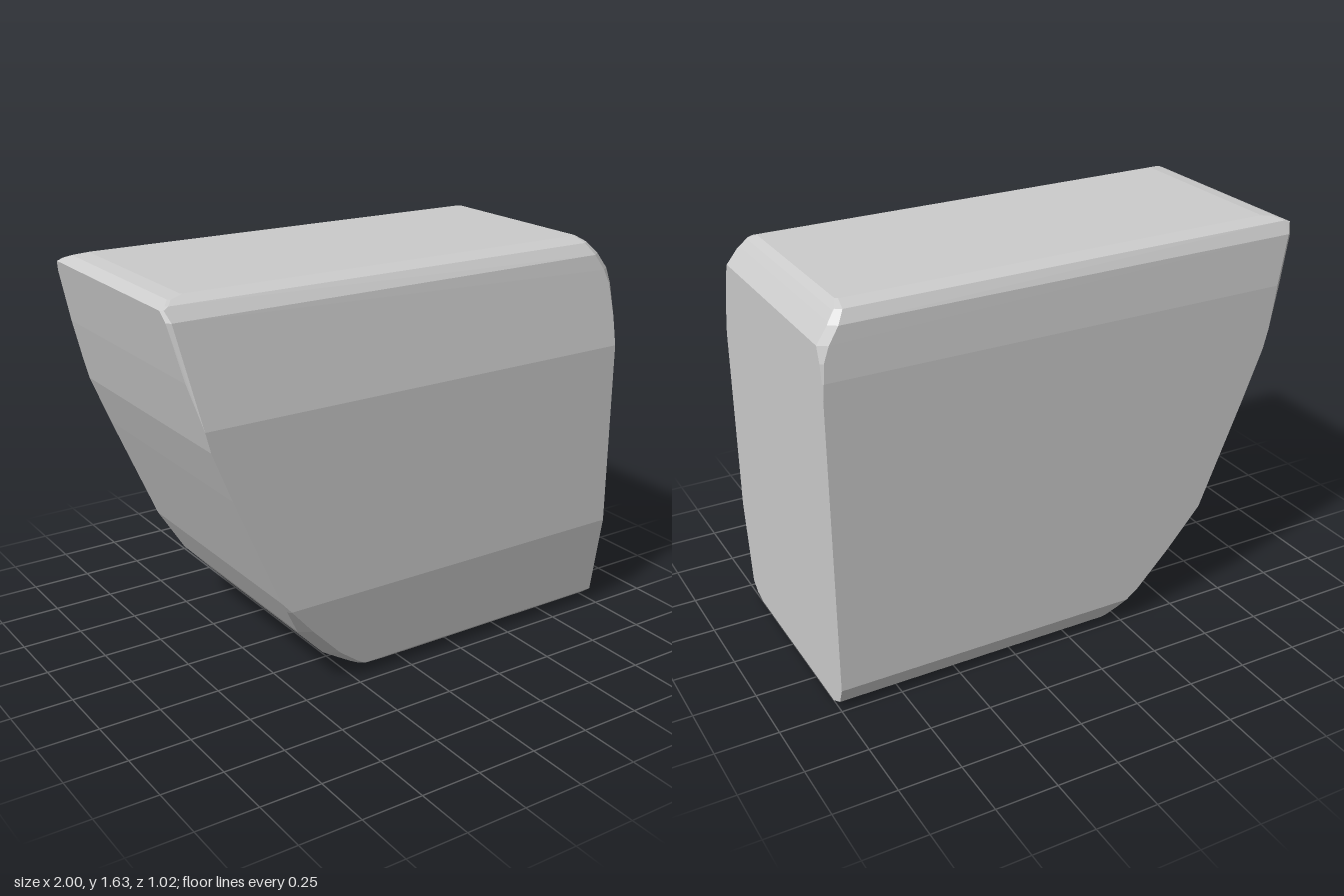
import * as THREE from 'three';
import { ConvexGeometry } from 'three/addons/geometries/ConvexGeometry.js';

// Outlines as [height, value] pairs, bottom to top
const frontZ = [[0, 0.35], [0.015, 0.41], [0.05, 0.455], [0.4, 0.51], [1.18, 0.51], [1.56, 0.44], [1.61, 0.405], [1.63, 0.345]];
const backZ = [[0, -0.42], [0.035, -0.485], [0.1, -0.51], [1.36, -0.51], [1.56, -0.495], [1.61, -0.47], [1.63, -0.42]];
const curvedX = [[0, 0.05], [0.01, -0.05], [0.04, -0.2], [0.07, -0.26], [0.14, -0.38], [0.28, -0.51], [0.45, -0.61],
  [0.9, -0.8], [1.1, -0.88], [1.35, -0.945], [1.6, -1], [1.622, -0.95], [1.63, -0.89]];
const straightX = [[0, 1], [1.49, 1], [1.57, 0.95], [1.605, 0.925], [1.63, 0.9]];
// How far the upright corners are cut back at each height
const curvedCut = [[0, 0], [0.05, 0.02], [0.15, 0.06], [0.28, 0.05], [0.45, 0], [1.18, 0], [1.45, 0.03], [1.6, 0.012], [1.63, 0.01]];
const straightCut = [[0, 0], [1.3, 0], [1.43, 0.012], [1.49, 0.035], [1.6, 0.03], [1.63, 0.01]];

function at(profile, y) {
  for (let i = 1; i < profile.length; i++) {
    const [y0, v0] = profile[i - 1], [y1, v1] = profile[i];
    if (y <= y1) return v0 + (v1 - v0) * (y - y0) / (y1 - y0);
  }
  return profile[profile.length - 1][1];
}

export function createModel() {
  const profiles = [frontZ, backZ, curvedX, straightX, curvedCut, straightCut];
  const levels = [...new Set(profiles.flat().map(p => p[0]))].sort((a, b) => a - b);
  const points = [];

  // One corner-cut rectangle at every height
  for (const y of levels) {
    const zMiddle = (at(frontZ, y) + at(backZ, y)) / 2;
    for (const [ends, cuts, inward] of [[curvedX, curvedCut, 1], [straightX, straightCut, -1]]) {
      const x = at(ends, y), cut = at(cuts, y);
      for (const edge of [frontZ, backZ]) {
        const z = at(edge, y), toMiddle = Math.sign(zMiddle - z);
        const corners = cut > 0
          ? [[x + inward * cut, z], [x, z + toMiddle * cut * 0.7]]
          : [[x, z]];
        for (const [px, pz] of corners) {
          // The top slopes down very slightly towards the straight end
          const slope = 0.006 * Math.max(0, px + 0.9) * THREE.MathUtils.clamp((y - 1.5) / 0.1, 0, 1);
          points.push(new THREE.Vector3(px, y - slope, pz));
        }
      }
    }
  }

  const body = new THREE.Mesh(
    new ConvexGeometry(points),
    new THREE.MeshStandardMaterial({ color: 0xcccccc, flatShading: true })
  );
  body.name = 'curvedBlockBody';

  const model = new THREE.Group();
  model.name = 'curvedBlock';
  model.add(body);
  return model;
}
